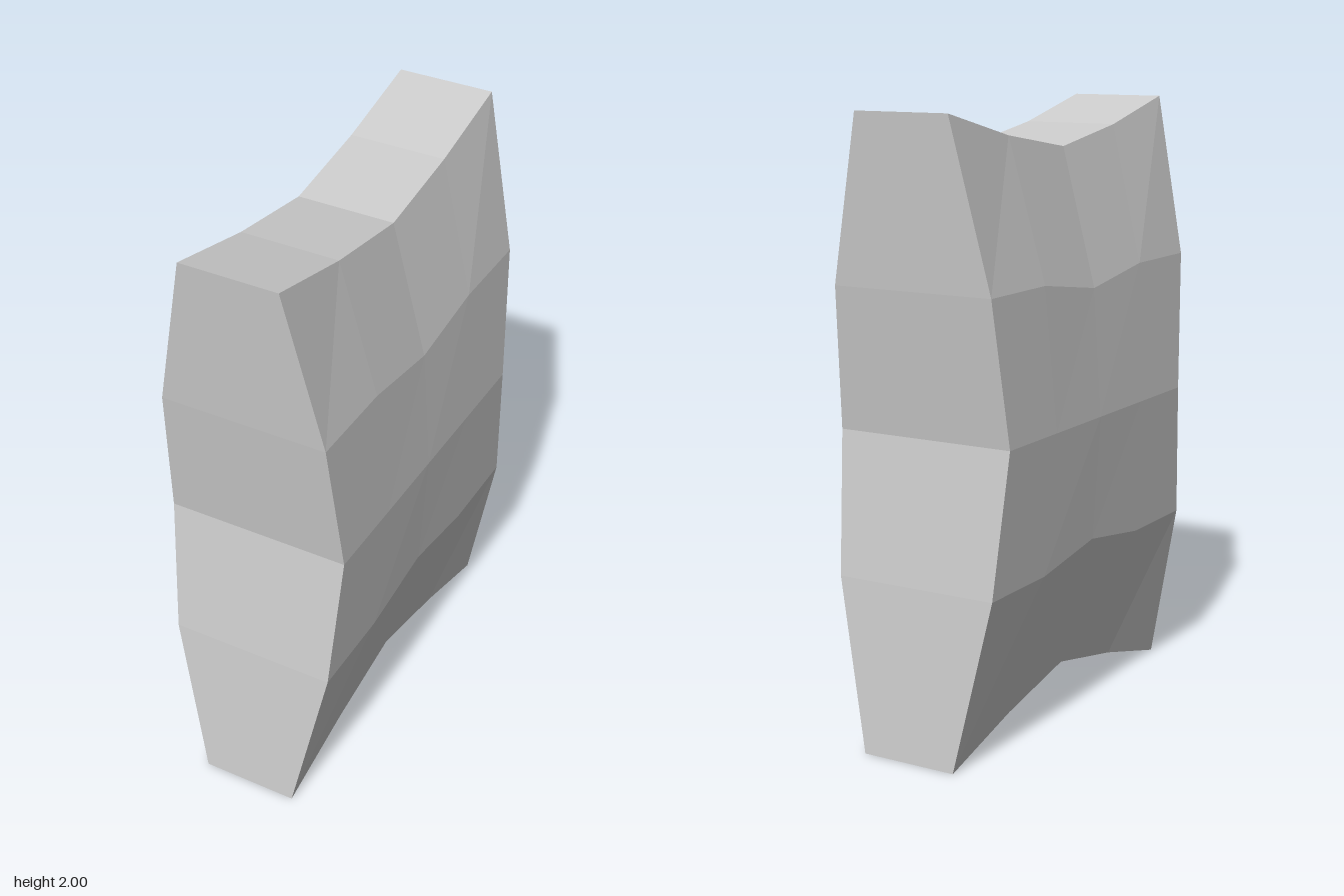
import * as THREE from 'three';

// Rows run bottom to top; heights are given at the edge, quarter and centre columns.
const rows = [
  { halfX: 0.163, halfZ: 0.672, y: [0, 0.09, 0.158] },
  { halfX: 0.278, halfZ: 0.626, y: [0.553, 0.553, 0.6] },
  { halfX: 0.305, halfZ: 0.566, y: [1.01, 1.01, 1.01] },
  { halfX: 0.278, halfZ: 0.626, y: [1.47, 1.47, 1.425] },
  { halfX: 0.163, halfZ: 0.672, y: [2, 1.92, 1.868] },
];

export function createModel() {
  const group = new THREE.Group();
  group.name = 'pinchedBlock';

  const lightGrey = new THREE.MeshStandardMaterial({ color: 0xcccccc, flatShading: true });
  lightGrey.name = 'lightGrey';

  // Subdivided block whose rows bulge in x and whose ends are pinched inwards
  const geometry = new THREE.BoxGeometry(2, 4, 4, 1, 4, 4);
  const p = geometry.attributes.position;
  for (let i = 0; i < p.count; i++) {
    const row = rows[Math.round(p.getY(i)) + 2];
    const column = Math.round(p.getZ(i));
    p.setXYZ(
      i,
      Math.sign(p.getX(i)) * row.halfX,
      row.y[2 - Math.abs(column)],
      (column / 2) * row.halfZ,
    );
  }
  const faceted = geometry.toNonIndexed();
  faceted.clearGroups();
  faceted.computeVertexNormals();

  const body = new THREE.Mesh(faceted, lightGrey);
  body.name = 'body';
  group.add(body);
  return group;
}
